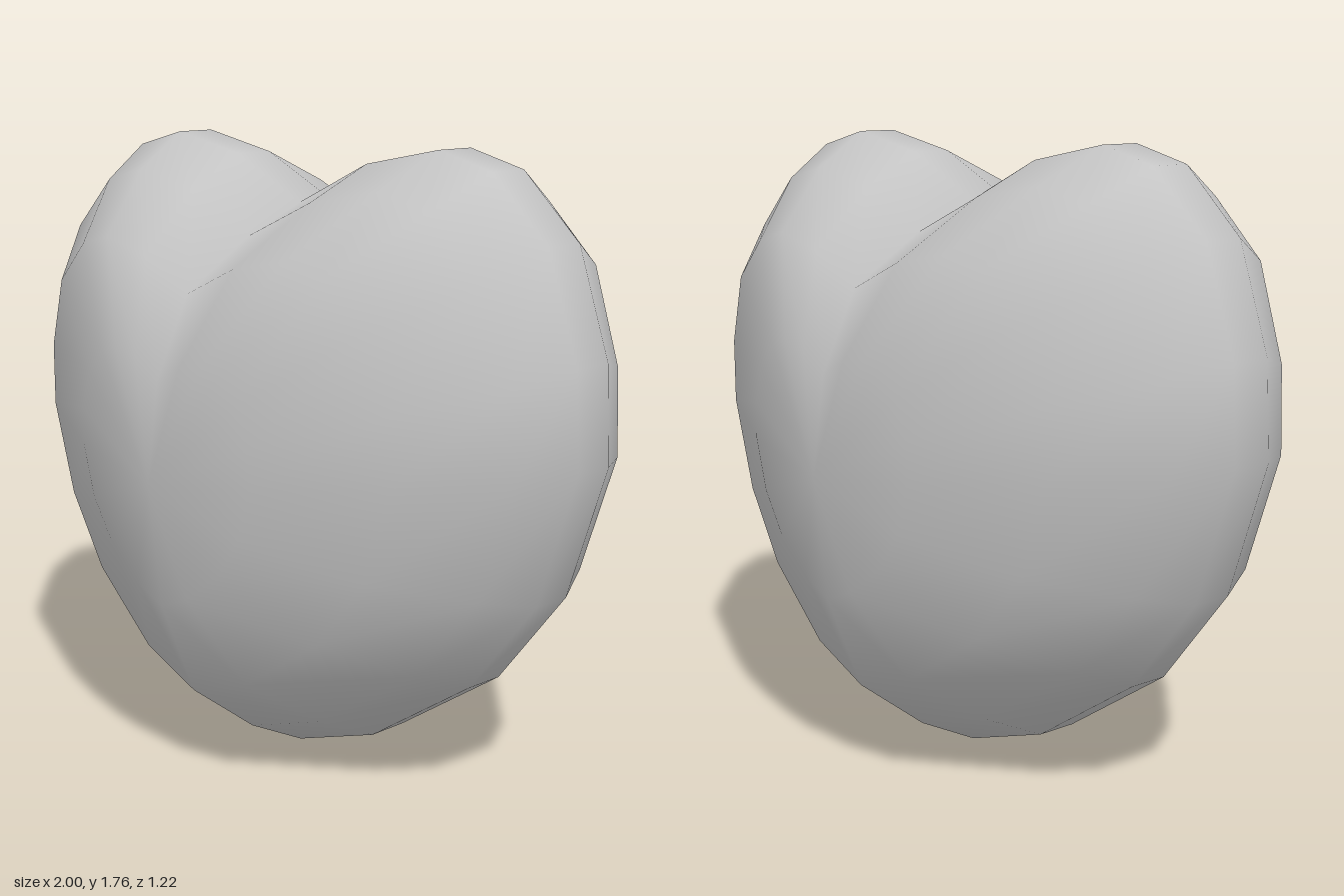
import * as THREE from 'three';

// Right half of the heart outline, from the bottom tip up to the notch
const half = [
  [0, 0], [0.3, 0.105], [0.66, 0.35], [0.88, 0.63], [1, 1], [0.985, 1.26],
  [0.885, 1.545], [0.7, 1.715], [0.52, 1.76], [0.26, 1.71], [0, 1.59],
];
const CENTER_Y = 0.88;

// Each ring: horizontal scale, vertical scale, depth at the sides, depth at top and bottom
const rings = [
  [1, 1, 0.06, 0.06],
  [0.92, 0.89, 0.2, 0.25],
  [0.7, 0.7, 0.41, 0.465],
  [0.35, 0.39, 0.562, 0.572],
];
const POLE_Z = 0.61;

function heartGeometry() {
  const mirrored = half.slice(1, -1).reverse().map(([x, y]) => [-x, y]);
  const outline = [...half, ...mirrored];
  const n = outline.length;
  const positions = [];
  const index = [];

  // Rings from back to front
  const addRing = ([sx, sy, zSide, zEnd], sign) => {
    for (const [x, y] of outline) {
      const dy = y - CENTER_Y;
      const t = (dy * dy) / (x * x + dy * dy);
      const z = THREE.MathUtils.lerp(zSide, zEnd, t);
      positions.push(x * sx, CENTER_Y + dy * sy, sign * z);
    }
  };
  [...rings].reverse().forEach((r) => addRing(r, -1));
  rings.forEach((r) => addRing(r, 1));
  const count = rings.length * 2;

  // Poles at the middle of the back and front
  const back = count * n;
  const front = back + 1;
  positions.push(0, CENTER_Y, -POLE_Z, 0, CENTER_Y, POLE_Z);

  for (let i = 0; i < n; i++) {
    const j = (i + 1) % n;
    for (let k = 0; k < count - 1; k++) {
      const a = k * n + i, b = k * n + j, c = b + n, d = a + n;
      index.push(a, b, d, b, c, d);
    }
    index.push(j, i, back);
    index.push((count - 1) * n + i, (count - 1) * n + j, front);
  }

  const geometry = new THREE.BufferGeometry();
  geometry.setAttribute('position', new THREE.Float32BufferAttribute(positions, 3));
  geometry.setIndex(index);
  geometry.computeVertexNormals();
  return geometry;
}

export function createModel() {
  const grey = new THREE.MeshStandardMaterial({ color: 0xc4c4c4 });
  grey.name = 'light grey';
  const heart = new THREE.Mesh(heartGeometry(), grey);
  heart.name = 'heart';
  const group = new THREE.Group();
  group.name = 'heartModel';
  group.add(heart);
  return group;
}
